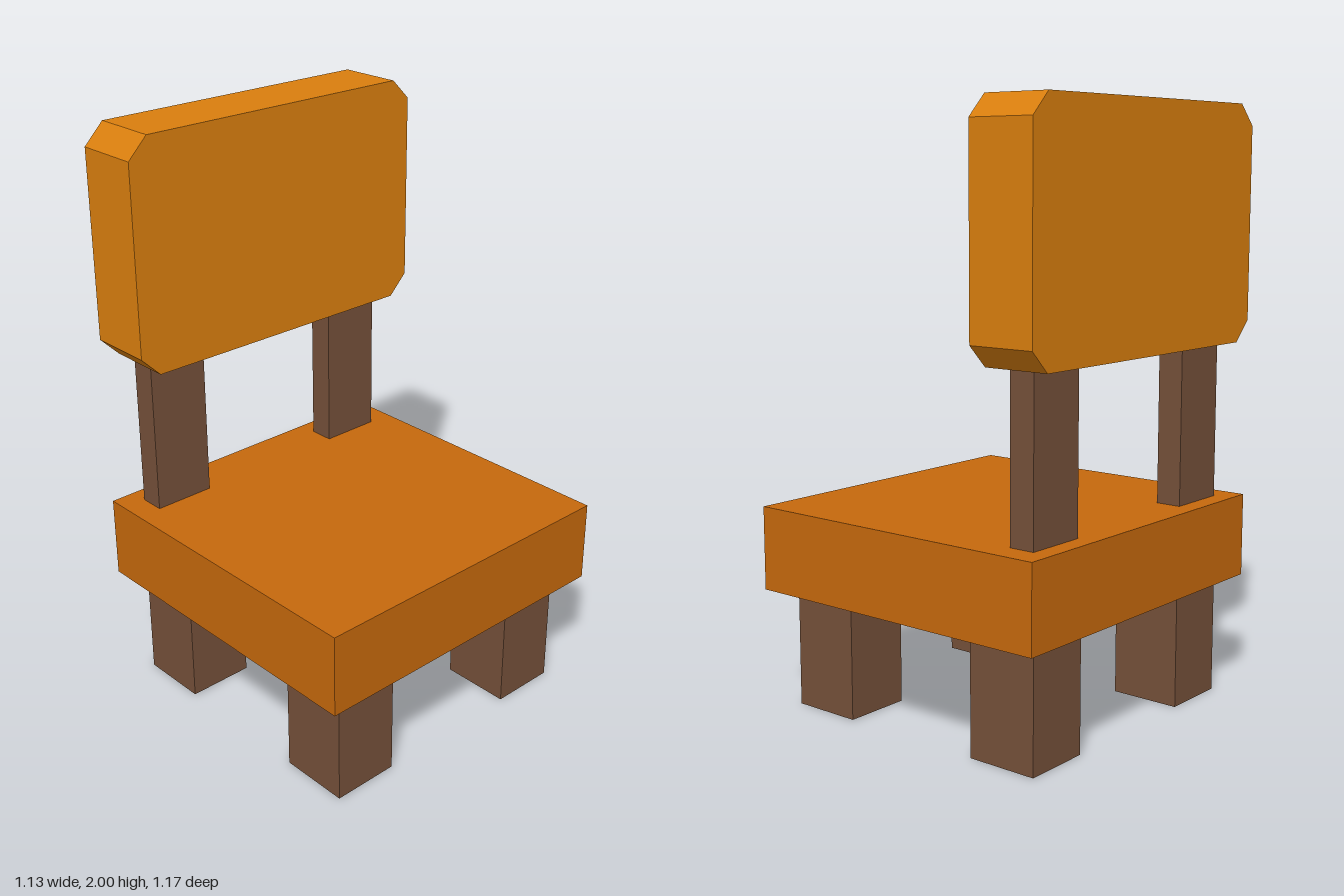
import * as THREE from 'three';

// Box between two corners, leaving out the listed sides (2 = top, 3 = bottom)
function openBox(x0, x1, y0, y1, z0, z1, omit) {
  const g = new THREE.BoxGeometry(x1 - x0, y1 - y0, z1 - z0);
  const index = Array.from(g.index.array).filter((_, i) => !omit.includes(Math.floor(i / 6)));
  g.setIndex(index);
  g.clearGroups();
  g.translate((x0 + x1) / 2, (y0 + y1) / 2, (z0 + z1) / 2);
  return g;
}

function material(name, color) {
  const m = new THREE.MeshStandardMaterial({ color, side: THREE.DoubleSide });
  m.name = name;
  return m;
}

export function createModel() {
  const model = new THREE.Group();
  model.name = 'chair';
  const amber = material('amber', 0xd97e0e);
  const orange = material('burntOrange', 0xc5680c);
  const brown = material('brownWood', 0x745039);

  const add = (name, geometry, mat) => {
    const mesh = new THREE.Mesh(geometry, mat);
    mesh.name = name;
    model.add(mesh);
  };

  // Seat: a shell, open underneath
  add('seat', openBox(-0.565, 0.565, 0.405, 0.688, -0.585, 0.585, [3]), orange);

  // Hollow legs and flat backrest posts, mirrored across the seat
  for (const [side, lz, pz] of [['Left', 0.387, 0.392], ['Right', -0.383, -0.387]]) {
    add('backLeg' + side, openBox(-0.505, -0.26, 0, 0.405, lz - 0.117, lz + 0.117, [2, 3]), brown);
    add('frontLeg' + side, openBox(0.25, 0.495, 0, 0.405, lz - 0.117, lz + 0.117, [2, 3]), brown);
    add('backPost' + side, openBox(-0.5, -0.412, 0.688, 1.22, pz - 0.108, pz + 0.108, [2, 3]), brown);
  }

  // Backrest: slab with cut corners, drawn in (z, y) and extruded along x
  const w = 0.585, y0 = 1.218, y1 = 2, c = 0.07;
  const outline = new THREE.Shape([
    [-w + c, y0], [w - c, y0], [w, y0 + c], [w, y1 - c],
    [w - c, y1], [-w + c, y1], [-w, y1 - c], [-w, y0 + c],
  ].map(([z, y]) => new THREE.Vector2(z, y)));
  const back = new THREE.ExtrudeGeometry(outline, { depth: 0.23, bevelEnabled: false });
  back.rotateY(Math.PI / 2).translate(-0.565, 0, 0);
  add('backrest', back, amber);

  return model;
}
